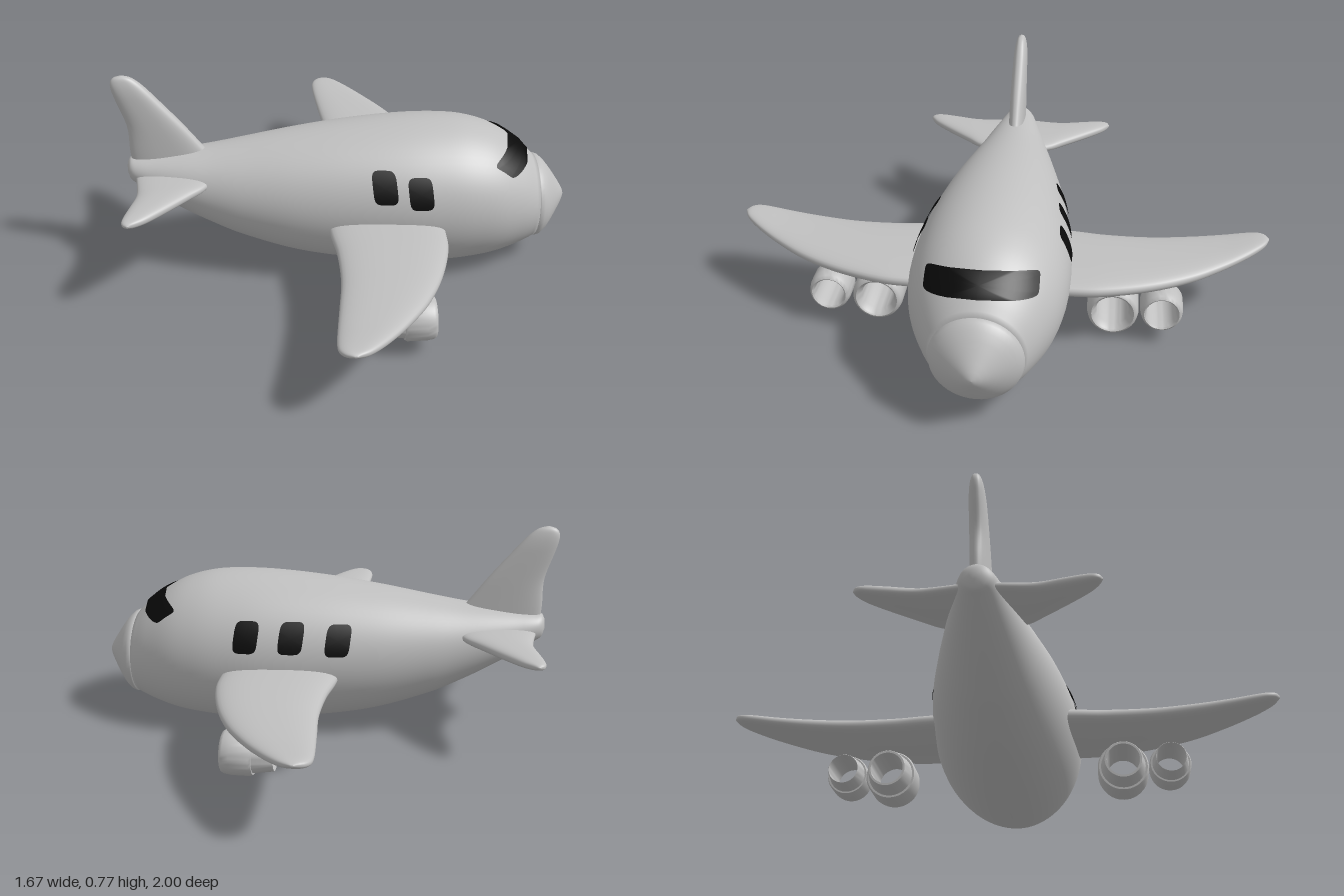
import * as THREE from 'three';
import { toCreasedNormals } from 'three/addons/utils/BufferGeometryUtils.js';

const V = (x, y, z) => new THREE.Vector3(x, y, z);

// Smooth interpolation of table rows [t, a, b, ...] at t
function sample(table, t) {
  let i = 0;
  while (i < table.length - 2 && t > table[i + 1][0]) i++;
  const p = table[i], q = table[i + 1], h = q[0] - p[0];
  const u = THREE.MathUtils.clamp((t - p[0]) / h, 0, 1);
  const slope = (k, c) => {
    const a = table[Math.max(k - 1, 0)], b = table[Math.min(k + 1, table.length - 1)];
    return (b[c] - a[c]) / (b[0] - a[0]);
  };
  return p.slice(1).map((v, n) => {
    const c = n + 1, m0 = slope(i, c) * h, m1 = slope(i + 1, c) * h;
    const u2 = u * u, u3 = u2 * u;
    return v * (2 * u3 - 3 * u2 + 1) + m0 * (u3 - 2 * u2 + u) + q[c] * (3 * u2 - 2 * u3) + m1 * (u3 - u2);
  });
}

// Closed skin through equal-sized rings; triangles are flipped if it is inside out
function loft(rings) {
  const n = rings[0].length, pts = rings.flat(), index = [];
  for (let i = 0; i < rings.length - 1; i++) {
    for (let j = 0; j < n; j++) {
      const a = i * n + j, b = i * n + (j + 1) % n;
      index.push(a, b, b + n, a, b + n, a + n);
    }
  }
  [0, rings.length - 1].forEach((r, end) => {
    const c = pts.length;
    pts.push(rings[r].reduce((s, p) => s.add(p), V(0, 0, 0)).divideScalar(n));
    for (let j = 0; j < n; j++) {
      const a = r * n + j, b = r * n + (j + 1) % n;
      if (end) index.push(a, b, c); else index.push(b, a, c);
    }
  });
  let volume = 0;
  const cross = V(0, 0, 0);
  for (let i = 0; i < index.length; i += 3) {
    volume += pts[index[i]].dot(cross.crossVectors(pts[index[i + 1]], pts[index[i + 2]]));
  }
  if (volume < 0) index.reverse();
  const g = new THREE.BufferGeometry().setFromPoints(pts);
  g.setIndex(index);
  g.computeVertexNormals();
  return g;
}

// Fuselage stations: x, top, bottom, half width
const BODY = [
  [-0.803, 0.425, 0.385, 0.02], [-0.795, 0.442, 0.362, 0.042], [-0.77, 0.448, 0.343, 0.06],
  [-0.7, 0.456, 0.295, 0.085], [-0.6, 0.467, 0.233, 0.118], [-0.5, 0.478, 0.178, 0.148],
  [-0.4, 0.493, 0.13, 0.177], [-0.2, 0.525, 0.062, 0.226], [0, 0.55, 0.025, 0.259],
  [0.2, 0.564, 0.008, 0.279], [0.35, 0.563, 0.002, 0.28], [0.45, 0.55, 0.008, 0.27],
  [0.55, 0.515, 0.022, 0.245], [0.65, 0.448, 0.05, 0.197], [0.715, 0.385, 0.076, 0.154],
];
function section(x) {
  const [top, bottom, a] = sample(BODY, x);
  return { a, b: (top - bottom) / 2, cy: (top + bottom) / 2 };
}

// Lifting surface from rows [span, lead x, trail x, mid height, half thickness]
function foil(rows, place) {
  const start = rows[0][0], length = rows[rows.length - 1][0] - start, rings = [];
  const round = v => Math.sign(v) * Math.abs(v) ** 0.8;
  for (let i = 0; i <= 40; i++) {
    const s = start + length * Math.sin(i / 40 * Math.PI / 2);
    const [lead, trail, mid, t] = sample(rows, s);
    rings.push(Array.from({ length: 36 }, (_, j) => {
      const k = j / 36 * Math.PI * 2;
      return place(s, (lead + trail) / 2 + (lead - trail) / 2 * round(Math.cos(k)), mid + t * round(Math.sin(k)));
    }));
  }
  return loft(rings);
}

const WING = [
  [0.15, 0.335, -0.085, 0.245, 0.04], [0.28, 0.337, -0.075, 0.245, 0.04], [0.39, 0.33, -0.06, 0.246, 0.039],
  [0.56, 0.283, -0.057, 0.248, 0.036], [0.71, 0.214, -0.072, 0.253, 0.032], [0.83, 0.135, -0.085, 0.263, 0.026],
  [0.91, 0.073, -0.092, 0.273, 0.022], [0.957, 0.03, -0.09, 0.28, 0.018], [0.985, -0.003, -0.073, 0.285, 0.012],
  [0.999, -0.035, -0.045, 0.288, 0.003],
];
const STABILIZER = [
  [0.03, -0.46, -0.775, 0.383, 0.024], [0.15, -0.52, -0.758, 0.383, 0.024], [0.2, -0.565, -0.758, 0.383, 0.024],
  [0.275, -0.633, -0.775, 0.383, 0.022], [0.33, -0.685, -0.787, 0.383, 0.019], [0.36, -0.717, -0.79, 0.383, 0.015],
  [0.378, -0.745, -0.783, 0.383, 0.01], [0.386, -0.763, -0.77, 0.383, 0.003],
];
const FIN = [
  [0.41, -0.47, -0.785, 0, 0.032], [0.475, -0.52, -0.79, 0, 0.032], [0.575, -0.595, -0.792, 0, 0.031],
  [0.685, -0.685, -0.825, 0, 0.028], [0.72, -0.715, -0.834, 0, 0.025], [0.745, -0.74, -0.834, 0, 0.02],
  [0.762, -0.765, -0.822, 0, 0.013], [0.77, -0.792, -0.798, 0, 0.003],
];

// Rounded plate laid on a curved surface; place() takes u, v in -1..1
function plate(power, place) {
  const rings = 10, n = 64, pts = [place(0, 0)], index = [];
  const round = v => Math.sign(v) * Math.abs(v) ** (2 / power);
  for (let i = 1; i <= rings; i++) {
    for (let j = 0; j < n; j++) {
      const k = j / n * Math.PI * 2, r = i / rings;
      pts.push(place(r * round(Math.cos(k)), r * round(Math.sin(k))));
      const a = 1 + (i - 1) * n + j, b = 1 + (i - 1) * n + (j + 1) % n;
      if (i === 1) index.push(0, a, b);
      else index.push(a - n, a, b, a - n, b, b - n);
    }
  }
  const g = new THREE.BufferGeometry().setFromPoints(pts);
  g.setIndex(index);
  g.computeVertexNormals();
  return g;
}

export function createModel() {
  const plane = new THREE.Group();
  plane.name = 'airplane';
  const grey = new THREE.MeshStandardMaterial({ color: 0xc0c0c0 });
  grey.name = 'light grey';
  const black = new THREE.MeshStandardMaterial({ color: 0x0a0a0a, side: THREE.DoubleSide });
  black.name = 'black';
  const add = (name, geometry, material = grey) => {
    const mesh = new THREE.Mesh(geometry, material);
    mesh.name = name;
    plane.add(mesh);
    return mesh;
  };
  // Turned part along the x axis, from [x, radius] points
  const turned = profile => new THREE.LatheGeometry(profile.map(([x, r]) => new THREE.Vector2(r, x)), 48).rotateZ(-Math.PI / 2);

  // Fuselage
  const rings = [];
  for (let i = 0; i <= 90; i++) {
    const x = -0.803 + 1.518 * (i < 10 ? i / 200 : 0.05 + (i - 10) / 80 * 0.95);
    const { a, b, cy } = section(x);
    rings.push(Array.from({ length: 64 }, (_, j) => {
      const k = j / 64 * Math.PI * 2;
      return V(x, cy + b * Math.sin(k), a * Math.cos(k));
    }));
  }
  add('fuselage', loft(rings));

  // Nose cone with a slight lip over the fuselage
  add('nose', turned([[0.705, 0.145], [0.707, 0.156], [0.715, 0.159], [0.73, 0.154], [0.75, 0.136],
    [0.77, 0.11], [0.79, 0.081], [0.81, 0.05], [0.822, 0.03], [0.83, 0.013], [0.832, 0]])).position.y = 0.23;

  // Tail fin
  add('tailFin', foil(FIN, (s, x, t) => V(x, s, t)));

  // Hollow engine: rear cone, stepped cowl, rounded lip and open bore
  const engine = (rear, step, front, r, bore) => toCreasedNormals(turned([
    [rear, bore], [rear, r * 0.72], [rear + 0.005, r * 0.75], [step, r * 0.87], [step, r * 0.95], [step + 0.008, r],
    [front - 0.035, r], [front - 0.012, r * 0.95], [front - 0.003, r * 0.89], [front, r * 0.82],
    [front - 0.005, r * 0.75], [front - 0.03, bore], [rear, bore],
  ]), 0.6);

  for (const [side, m] of [['left', -1], ['right', 1]]) {
    add(side + 'Wing', foil(WING, (s, x, y) => V(x, y, s * m)));
    add(side + 'Stabilizer', foil(STABILIZER, (s, x, y) => V(x, y, s * m)));
    add(side + 'InnerEngine', engine(0.04, 0.115, 0.245, 0.094, 0.06)).position.set(0, 0.107, 0.435 * m);
    add(side + 'OuterEngine', engine(0.08, 0.15, 0.258, 0.077, 0.055)).position.set(0, 0.126, 0.61 * m);
  }

  // Cabin windows: x, y, side
  const windows = [[0.12, 0.413, 1], [0.247, 0.393, 1], [-0.078, 0.385, -1], [0.087, 0.393, -1], [0.247, 0.393, -1]];
  for (const [wx, wy, m] of windows) {
    add('cabinWindow', plate(4.5, (u, v) => {
      const x = wx + 0.043 * u + 0.005 * v * -1, y = wy + 0.053 * v;
      const { a, b, cy } = section(x), k = Math.asin((y - cy) / b);
      return V(x, cy + (b + 0.006) * Math.sin(k), m * (a + 0.006) * Math.cos(k));
    }), black);
  }

  // Windshield band wrapped over the front of the fuselage
  add('windshield', plate(7, (u, v) => {
    const z = 0.185 * u, y = 0.457 - 0.03 * u * u + 0.031 * v;
    let lo = 0.35, hi = 0.715;
    for (let i = 0; i < 30; i++) {
      const x = (lo + hi) / 2, { a, b, cy } = section(x);
      if (((y - cy) / b) ** 2 + (z / a) ** 2 < 1) lo = x; else hi = x;
    }
    const { a, b, cy } = section(lo);
    return V(lo + 0.004, y + 0.006 * (y - cy) / b, z + 0.006 * z / a);
  }), black);

  return plane;
}
